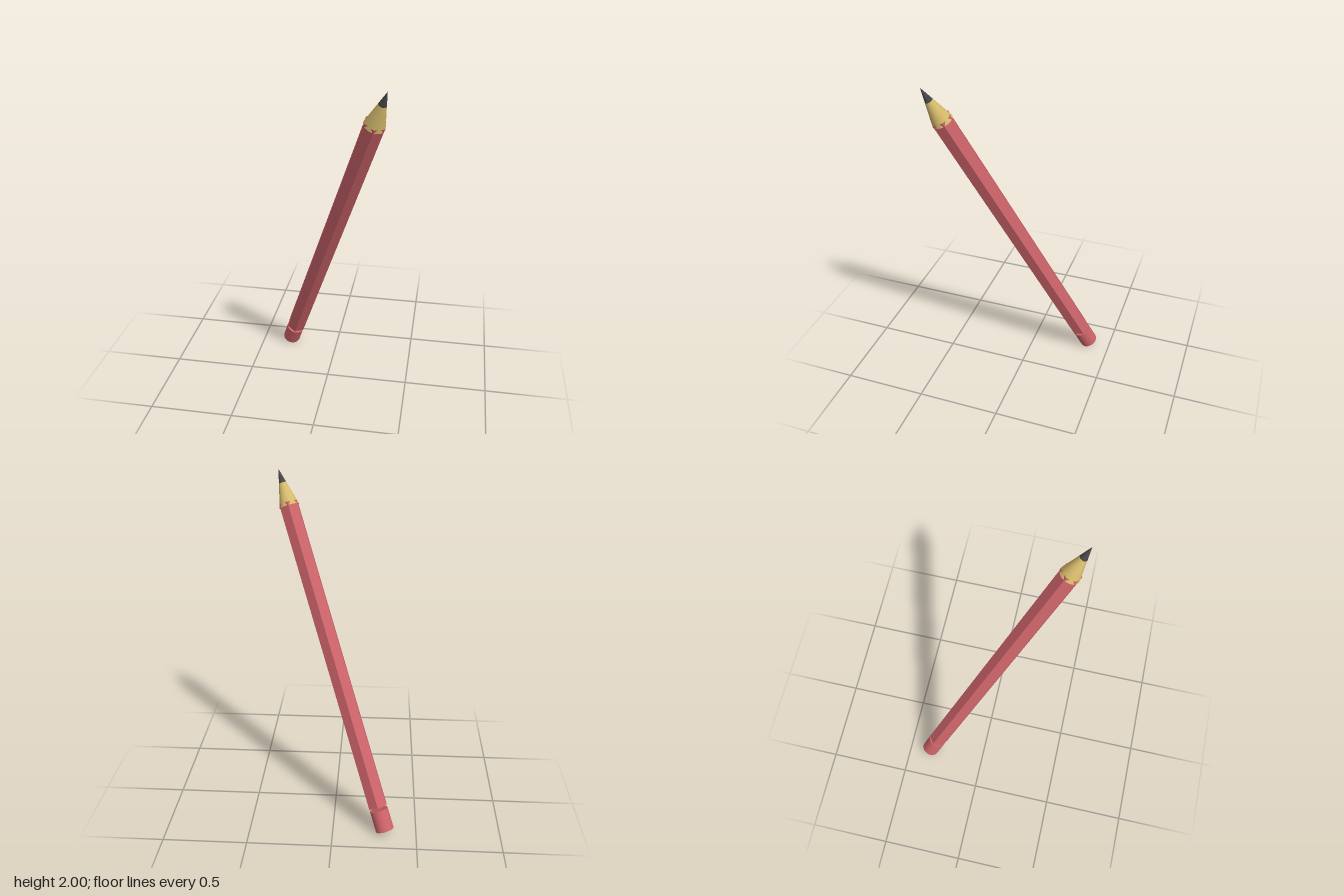
import * as THREE from 'three';

export function createModel() {
  const red = new THREE.MeshStandardMaterial({ color: 0xcd646a });
  red.name = 'red paint';
  const wood = new THREE.MeshStandardMaterial({ color: 0xd6bb6c });
  wood.name = 'bare wood';
  const graphite = new THREE.MeshStandardMaterial({ color: 0x454547 });
  graphite.name = 'graphite';

  // The pencil is built upright from its eraser end, then leaned over.
  const pencil = new THREE.Group();
  pencil.name = 'pencil';

  const addPart = (name, material, bottom, top, rBottom, rTop, sides, open = false) => {
    const geometry = new THREE.CylinderGeometry(rTop, rBottom, top - bottom, sides, 1, open);
    if (sides === 6) {
      material = material.clone();
      material.flatShading = true;
    }
    const mesh = new THREE.Mesh(geometry, material);
    mesh.name = name;
    mesh.position.y = (bottom + top) / 2;
    pencil.add(mesh);
  };

  const length = 2.226;
  const coneBase = length - 0.225;
  const leadBase = length - 0.085;
  const coneRadius = 0.059;
  const leadRadius = coneRadius * 0.085 / 0.225;

  // Eraser, separated from the shaft by a small gap
  addPart('eraser', red, 0, 0.128, 0.055, 0.055, 32);
  // Hexagonal shaft, whose corners poke out past the base of the cone
  addPart('shaft', red, 0.148, coneBase + 0.02, 0.061, 0.061, 6);
  // Sharpened end
  addPart('woodCone', wood, coneBase, leadBase, coneRadius, leadRadius, 32);
  addPart('leadTip', graphite, leadBase, length, leadRadius, 0, 32);

  // Lean, with the tip ending at the upper front left
  pencil.rotation.set(0.374, 0, -0.308);
  const tip = new THREE.Vector3(0, length, 0).applyEuler(pencil.rotation);
  pencil.position.set(0.362, 2, 0.413).sub(tip);

  const model = new THREE.Group();
  model.name = 'leaningPencil';
  model.add(pencil);
  return model;
}
